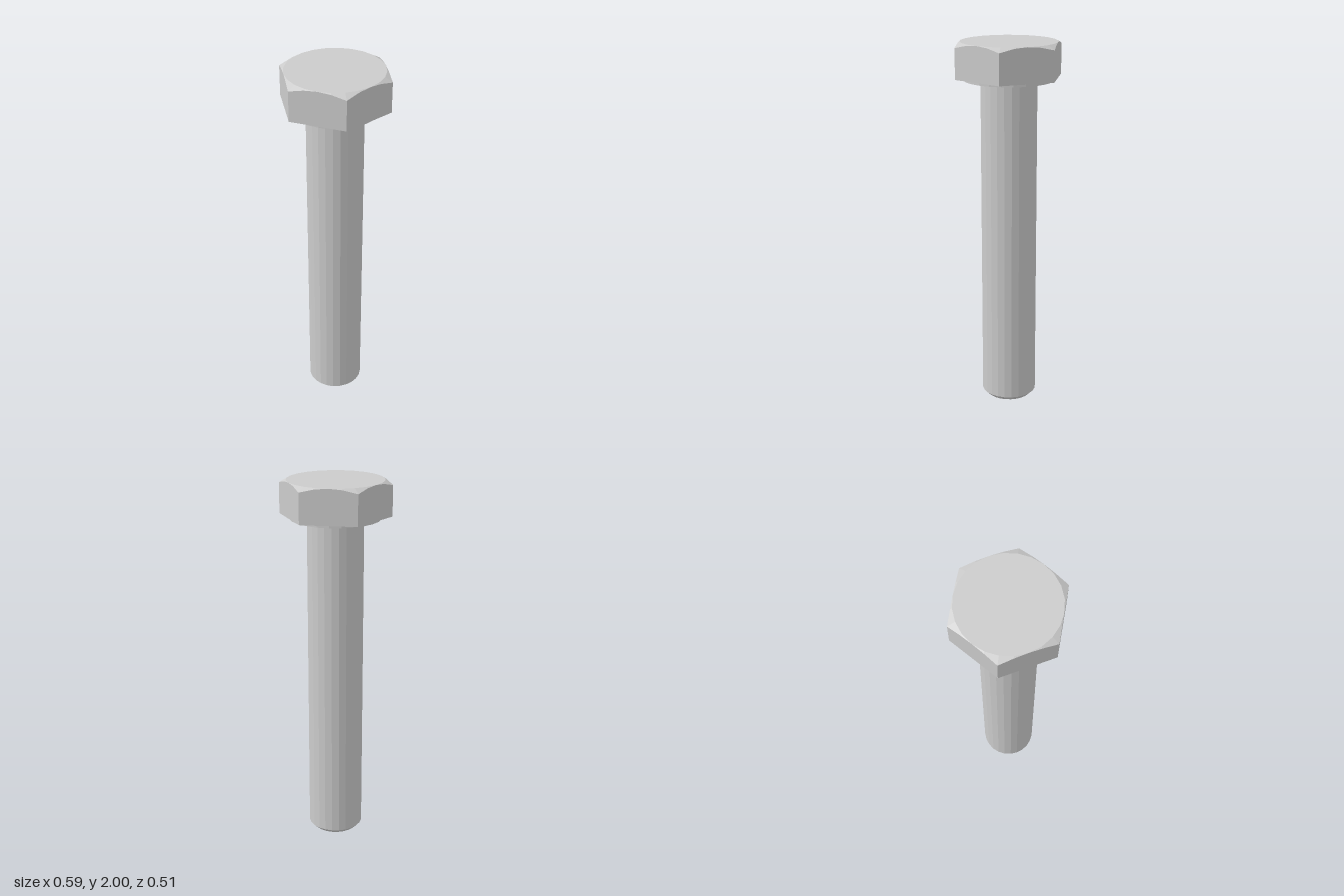
import * as THREE from 'three';

const SIDES = 24;
const APOTHEM = 0.256; // half the distance across the head's flats
const material = new THREE.MeshStandardMaterial({ color: 0xcccccc, flatShading: true });

// Revolved profile of [radius, y] points, listed from bottom to top
function lathe(profile) {
  return new THREE.LatheGeometry(profile.map(([r, y]) => new THREE.Vector2(r, y)), SIDES);
}

function part(name, geometry) {
  const flat = geometry.toNonIndexed();
  flat.computeVertexNormals();
  const mesh = new THREE.Mesh(flat, material);
  mesh.name = name;
  return mesh;
}

// Hexagonal head: the two outer rings are pushed out to the hexagon,
// and the upper one drops along a 30 degree cone to form the corner chamfers
function headGeometry(bottom, top) {
  const geometry = lathe([[0, bottom], [APOTHEM, bottom], [APOTHEM, top], [APOTHEM, top], [0, top]]);
  const pos = geometry.attributes.position;
  for (let i = 0; i < pos.count; i++) {
    const ring = i % 5;
    if (ring !== 1 && ring !== 2) continue;
    const phi = Math.floor(i / 5) * 2 * Math.PI / SIDES;
    const sector = Math.PI / 3;
    const r = APOTHEM / Math.cos(phi - Math.round(phi / sector) * sector);
    const y = ring === 1 ? bottom : top - (r - APOTHEM) * Math.tan(Math.PI / 6);
    pos.setXYZ(i, r * Math.sin(phi), y, r * Math.cos(phi));
  }
  return geometry;
}

export function createModel() {
  const bolt = new THREE.Group();
  bolt.name = 'hexBolt';

  bolt.add(part('head', headGeometry(1.815, 2)));

  // Thin round bearing face under the head
  bolt.add(part('washerFace', lathe([[0.15, 1.8], [0.24, 1.8], [0.24, 1.815]])));

  // Shank with a chamfered tip and a small fillet below the head
  bolt.add(part('shank', lathe([
    [0, 0], [0.125, 0], [0.15, 0.025], [0.15, 1.788], [0.153, 1.796], [0.16, 1.8],
  ])));

  return bolt;
}
